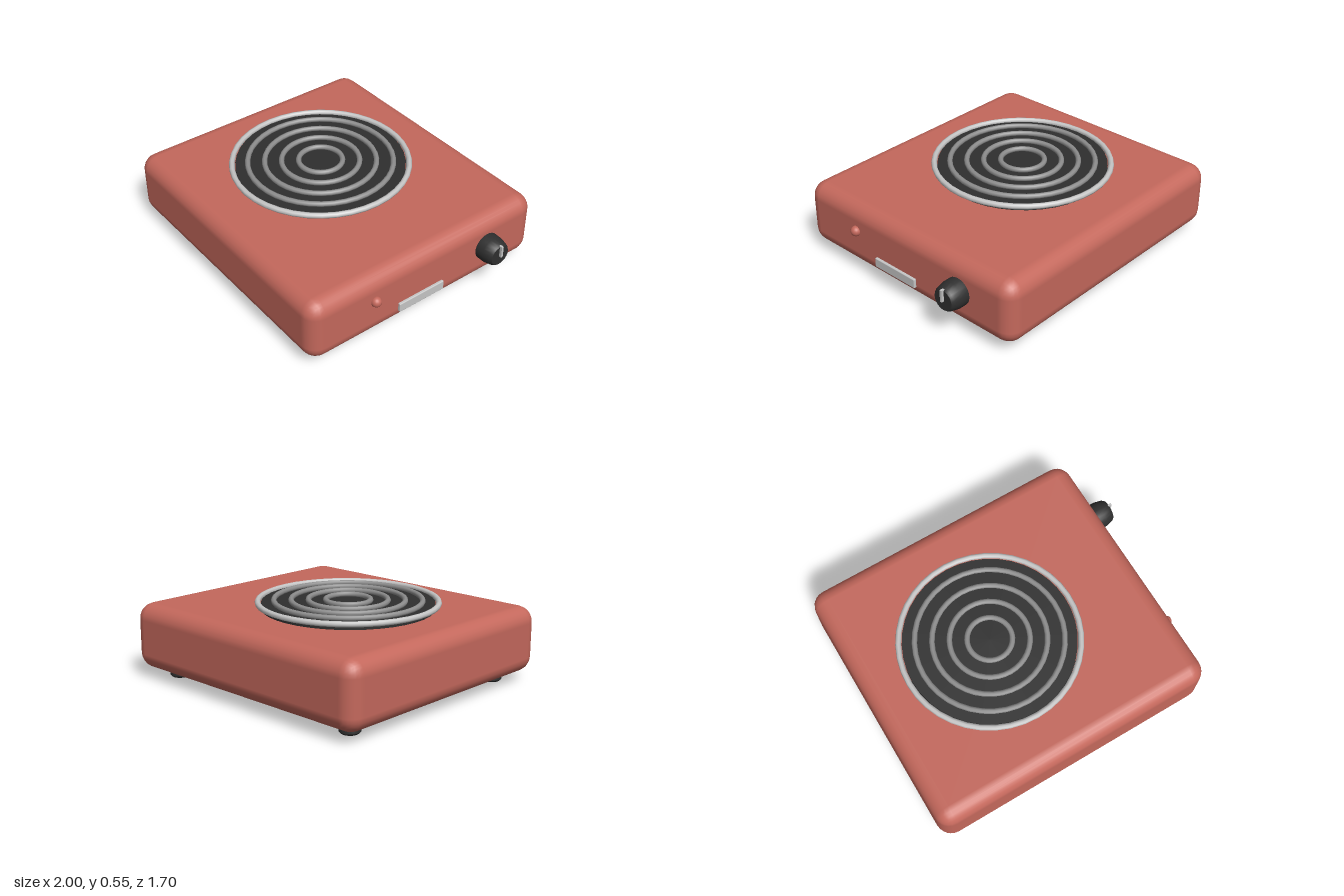
import * as THREE from 'three';
import { RoundedBoxGeometry } from 'three/addons/geometries/RoundedBoxGeometry.js';
import { toCreasedNormals } from 'three/addons/utils/BufferGeometryUtils.js';

const mat = (name, color) => {
  const m = new THREE.MeshStandardMaterial({ color });
  m.name = name;
  return m;
};

export function createModel() {
  const group = new THREE.Group();
  group.name = 'hotPlate';
  const red = mat('redEnamel', 0xc4685c);
  const black = mat('blackPlastic', 0x2f2f2f);
  const chrome = mat('chrome', 0xc6c6c6);
  const steel = mat('steel', 0x8e8e8e);

  const add = (name, geometry, material, x, y, z) => {
    const mesh = new THREE.Mesh(geometry, material);
    mesh.name = name;
    mesh.position.set(x, y, z);
    group.add(mesh);
    return mesh;
  };
  // Turned solid with crisp edges
  const turned = (points, sides) => toCreasedNormals(
    new THREE.LatheGeometry(points.map(([r, y]) => new THREE.Vector2(r, y)), sides), 0.6);

  // Housing
  add('housing', new RoundedBoxGeometry(1.865, 0.42, 1.7, 3, 0.1), red, -0.0675, 0.27, 0);

  // Burner: dark disc, bright rim and concentric rings
  const bx = -0.18;
  add('burnerDisc', turned([[0, 0], [0.535, 0], [0.535, 0.042], [0, 0.042]], 40), black, bx, 0.475, 0);
  const ring = (name, radius, tube, y, material) => {
    const geometry = new THREE.TorusGeometry(radius, tube, 8, 40).rotateX(Math.PI / 2);
    add(name, geometry, material, bx, y, 0);
  };
  ring('burnerRim', 0.556, 0.018, 0.519, chrome);
  [0.457, 0.351, 0.245, 0.138].forEach((r) => ring('burnerRing', r, 0.017, 0.528, steel));

  // Feet
  const foot = turned([[0, 0], [0.052, 0], [0.064, 0.012], [0.064, 0.045], [0.054, 0.065], [0, 0.065]], 20);
  for (const x of [-0.805, 0.668])
    for (const z of [-0.652, 0.652]) add('foot', foot, black, x, 0, z);

  // Control knob with pointer
  const knob = turned([[0, 0], [0.088, 0], [0.088, 0.055], [0.076, 0.105], [0.066, 0.118], [0, 0.118]], 24);
  add('knob', knob.rotateZ(-Math.PI / 2), black, 0.865, 0.287, -0.455);
  add('knobPointer', new THREE.BoxGeometry(0.024, 0.078, 0.014), chrome, 0.988, 0.322, -0.455);

  // Name plate and indicator lamp
  add('blankPlate', new RoundedBoxGeometry(0.03, 0.062, 0.338, 2, 0.006), chrome, 0.866, 0.172, 0.06);
  add('indicatorLamp', new THREE.SphereGeometry(0.033, 20, 14), red, 0.87, 0.315, 0.4);

  return group;
}
